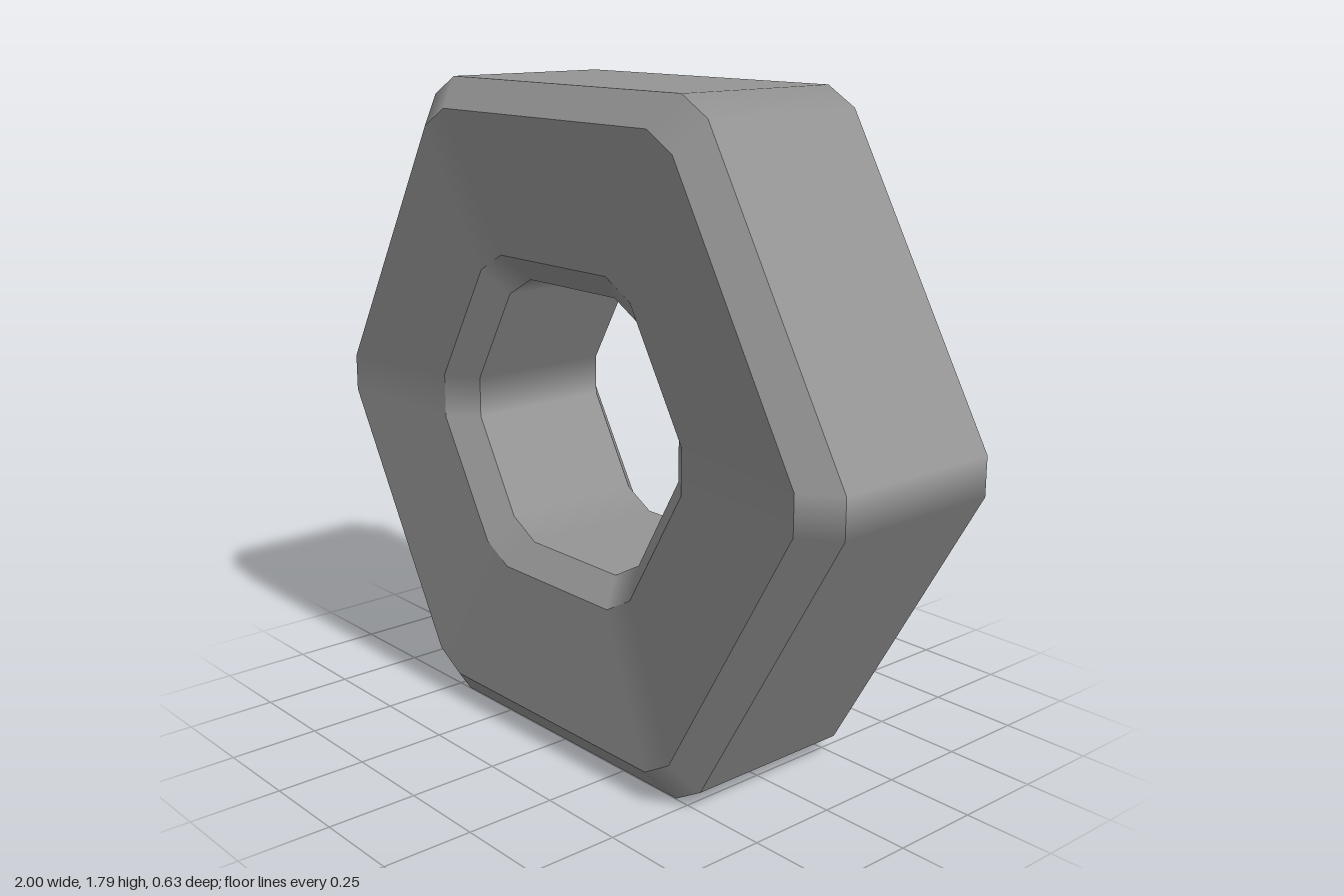
import * as THREE from 'three';

// Hexagon with clipped corners, from three points of one quadrant, counterclockwise.
function ring(quadrant, z) {
  const upper = [...quadrant, ...quadrant.map(([x, y]) => [-x, y]).reverse()];
  return [...upper, ...upper.map(([x, y]) => [x, -y]).reverse()]
    .map(([x, y]) => new THREE.Vector3(x, y, z));
}

// Band between two rings; long sides are flat, the clipped corners shade smoothly between them.
function band(front, back) {
  const n = front.length;
  const sideNormal = (i) => {
    const e = i - (i % 2);
    const across = back[e].clone().sub(front[e]);
    const along = front[e + 1].clone().sub(front[e]);
    return across.cross(along).normalize();
  };
  const positions = [], normals = [];
  for (let i = 0; i < n; i++) {
    const j = (i + 1) % n;
    const corners = [[front, i], [back, i], [back, j], [front, i], [back, j], [front, j]];
    for (const [r, k] of corners) {
      positions.push(...r[k].toArray());
      normals.push(...sideNormal(k).toArray());
    }
  }
  const g = new THREE.BufferGeometry();
  g.setAttribute('position', new THREE.Float32BufferAttribute(positions, 3));
  g.setAttribute('normal', new THREE.Float32BufferAttribute(normals, 3));
  return g;
}

export function createModel() {
  const steel = new THREE.MeshStandardMaterial({ color: 0x959595 });
  steel.name = 'steelGrey';

  const outer = [[1.0, 0.052], [0.545, 0.841], [0.455, 0.893]];
  const faceOuter = [[0.907, 0.052], [0.5, 0.761], [0.41, 0.813]];
  const faceInner = [[0.497, 0.062], [0.307, 0.387], [0.216, 0.438]];
  const hole = [[0.417, 0.056], [0.267, 0.318], [0.174, 0.37]];

  // Half depths: the faces are dished, so they sink slightly toward the hole.
  const outerZ = 0.248, rimZ = 0.316, dishZ = 0.278, holeZ = 0.213;

  // Closed cross-section, walked from the outer front edge round the back and through the hole.
  const rings = [
    ring(outer, outerZ), ring(outer, -outerZ), ring(faceOuter, -rimZ), ring(faceInner, -dishZ),
    ring(hole, -holeZ), ring(hole, holeZ), ring(faceInner, dishZ), ring(faceOuter, rimZ),
  ];
  const names = ['outerSides', 'backOuterChamfer', 'backFace', 'backHoleChamfer',
    'holeWall', 'frontHoleChamfer', 'frontFace', 'frontOuterChamfer'];

  const nut = new THREE.Group();
  nut.name = 'hexNut';
  names.forEach((name, i) => {
    const mesh = new THREE.Mesh(band(rings[i], rings[(i + 1) % rings.length]), steel);
    mesh.name = name;
    nut.add(mesh);
  });
  nut.position.y = 0.893;

  const model = new THREE.Group();
  model.name = 'model';
  model.add(nut);
  return model;
}
